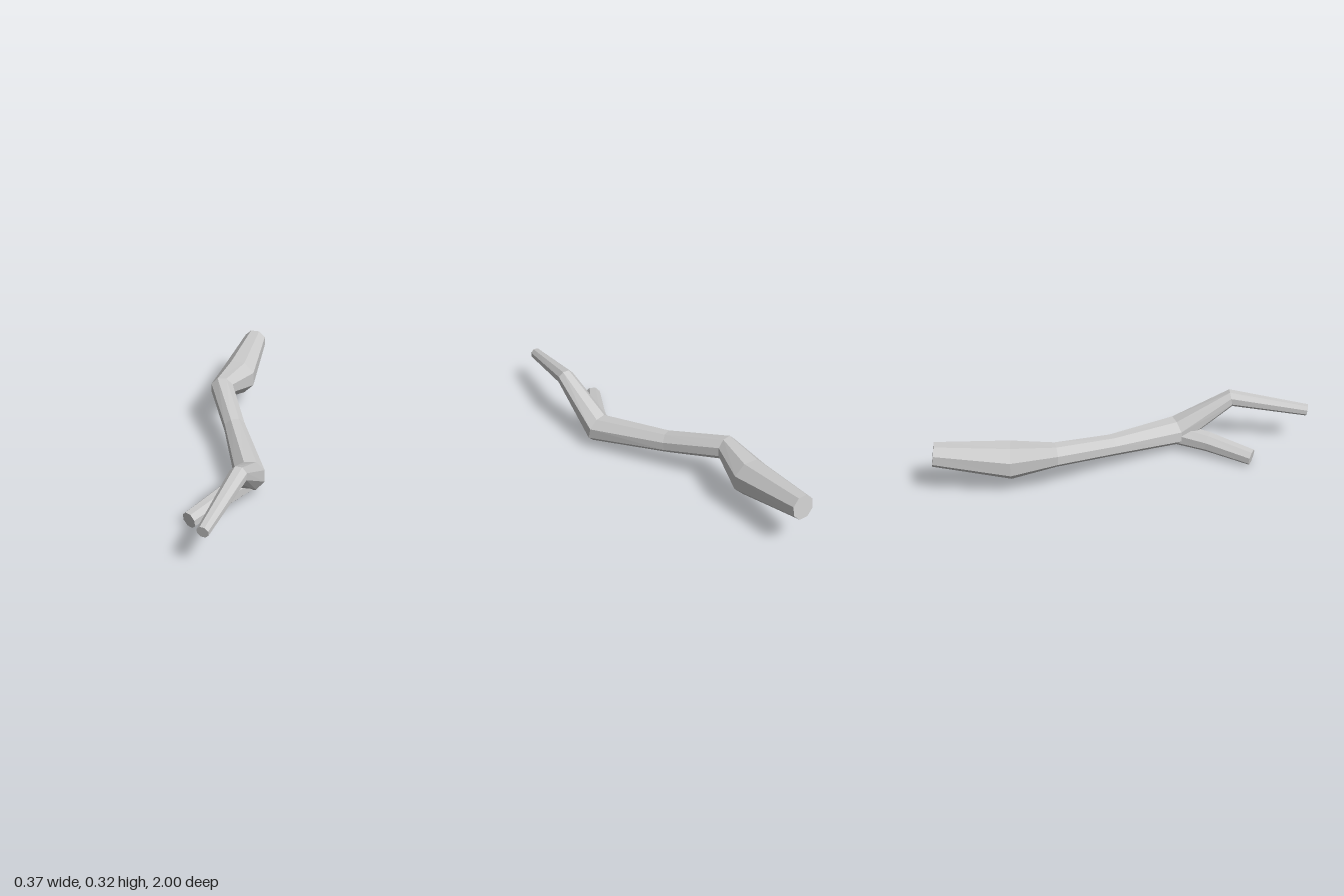
import * as THREE from 'three';

const SIDES = 8;
const material = new THREE.MeshStandardMaterial({ color: 0xcccccc, flatShading: true });

// Sweeps an eight-sided ring along stations of [x, y, z, radius], mitred at each bend.
function limb(name, stations, twist) {
  const centres = stations.map(([x, y, z]) => new THREE.Vector3(x, y, z));
  const last = centres.length - 1;
  const positions = [];
  const index = [];
  const direction = (a, b) => centres[b].clone().sub(centres[a]).normalize();

  centres.forEach((centre, i) => {
    const tangent = new THREE.Vector3();
    if (i > 0) tangent.add(direction(i - 1, i));
    if (i < last) tangent.add(direction(i, i + 1));
    tangent.normalize();
    const right = new THREE.Vector3(0, 1, 0).cross(tangent).normalize();
    const up = tangent.clone().cross(right);
    for (let k = 0; k < SIDES; k++) {
      const angle = twist + (k / SIDES) * Math.PI * 2;
      const p = centre.clone()
        .addScaledVector(right, Math.cos(angle) * stations[i][3])
        .addScaledVector(up, Math.sin(angle) * stations[i][3]);
      positions.push(p.x, p.y, p.z);
    }
  });

  // Bark faces between neighbouring rings
  for (let i = 0; i < last; i++) {
    for (let k = 0; k < SIDES; k++) {
      const a = i * SIDES + k;
      const b = i * SIDES + ((k + 1) % SIDES);
      index.push(a, b, b + SIDES, a, b + SIDES, a + SIDES);
    }
  }
  // Flat cut ends
  const end = last * SIDES;
  for (let k = 1; k < SIDES - 1; k++) {
    index.push(0, k + 1, k);
    index.push(end, end + k, end + k + 1);
  }

  const geometry = new THREE.BufferGeometry();
  geometry.setAttribute('position', new THREE.Float32BufferAttribute(positions, 3));
  geometry.setIndex(index);
  geometry.computeVertexNormals();
  const mesh = new THREE.Mesh(geometry, material);
  mesh.name = name;
  return mesh;
}

export function createModel() {
  const group = new THREE.Group();
  group.name = 'forkedBranch';

  // Long crooked stem, thick at the back and tapering to the front
  group.add(limb('mainStem', [
    [0.02, 0.25, -0.985, 0.063],
    [-0.045, 0.19, -0.605, 0.099],
    [-0.11, 0.225, -0.39, 0.063],
    [-0.01, 0.158, -0.08, 0.057],
    [0.108, 0.107, 0.32, 0.079],
    [0.077, 0.281, 0.605, 0.046],
    [-0.043, 0.212, 0.993, 0.031],
  ], Math.PI / 8));

  // Short stub forking off low at the elbow
  group.add(limb('sideStub', [
    [0.105, 0.09, 0.315, 0.06],
    [0.0, 0.076, 0.46, 0.053],
    [-0.154, 0.043, 0.65, 0.043],
  ], Math.PI / 8));

  return group;
}
